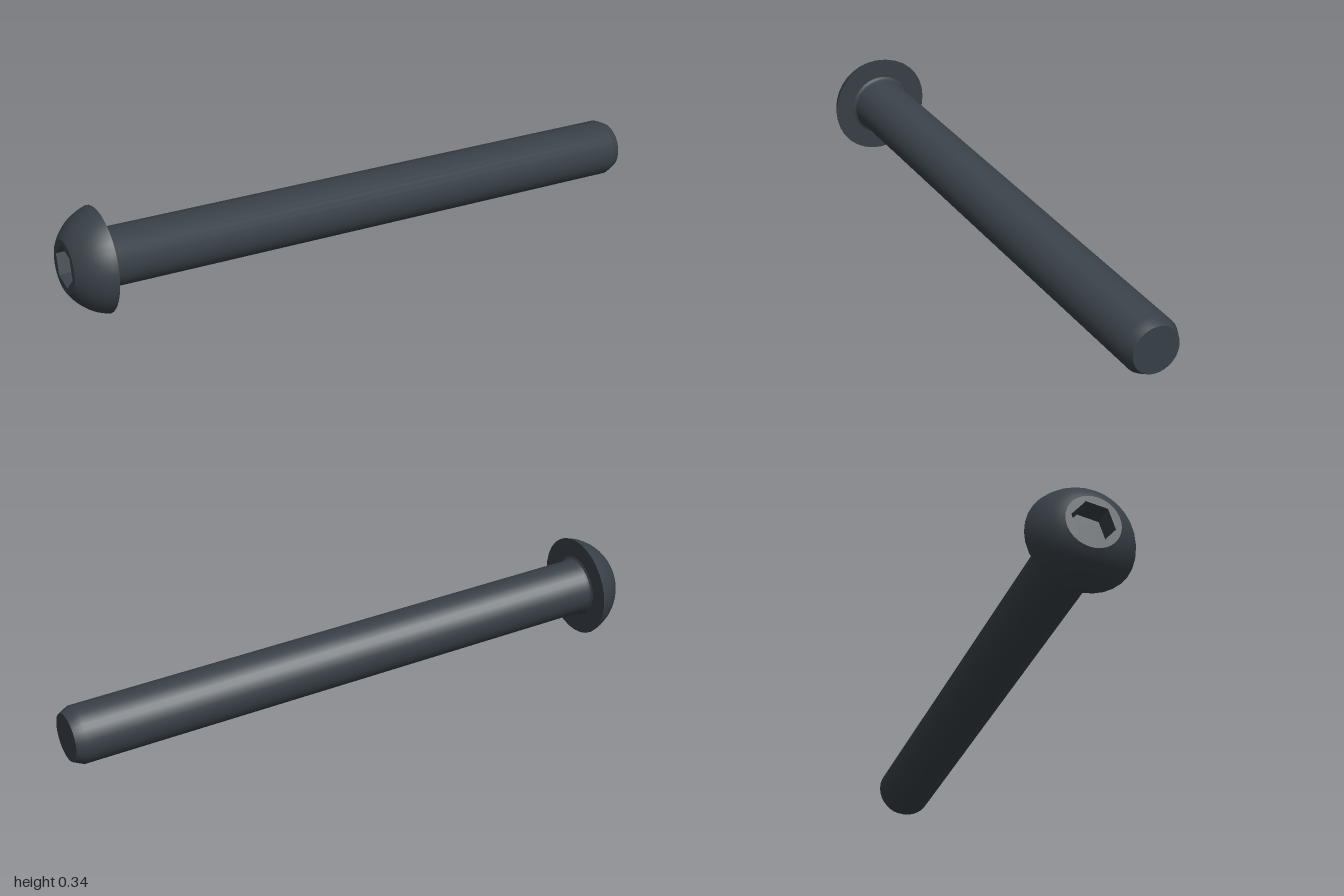
import * as THREE from 'three';
import { toCreasedNormals } from 'three/addons/utils/BufferGeometryUtils.js';

const SEG = 32;
const HEAD_R = 0.17, HEAD_H = 0.11, FACE_R = 0.085;
const SHAFT_R = 0.0935, TIP_R = 0.078, CHAMFER = 0.033;
const SOCKET_R = 0.068, SOCKET_DEPTH = 0.075;

export function createModel() {
  const root = new THREE.Group();
  root.name = 'bolt';
  const steel = new THREE.MeshStandardMaterial({ color: 0x384047 });
  steel.name = 'dark steel';

  // The bolt is built along +y from the underside of its head, then tilted
  const bolt = new THREE.Group();
  bolt.name = 'tiltedBolt';
  root.add(bolt);
  const start = new THREE.Vector3(-0.875, 0.1715, -0.159);
  const end = new THREE.Vector3(0.983, 0.096, 0.238);
  const length = start.distanceTo(end);
  bolt.position.copy(start);
  bolt.quaternion.setFromUnitVectors(new THREE.Vector3(0, 1, 0), end.clone().sub(start).normalize());

  const add = (name, geometry) => {
    const mesh = new THREE.Mesh(geometry, steel);
    mesh.name = name;
    bolt.add(mesh);
  };
  const lathe = (points) => toCreasedNormals(
    new THREE.LatheGeometry(points.map(([r, y]) => new THREE.Vector2(r, y)), SEG), 0.5);

  // Domed head: spherical arc from the flat face to the rim, then the underside
  const c = (HEAD_R ** 2 - FACE_R ** 2 - HEAD_H ** 2) / (2 * HEAD_H);
  const R = Math.hypot(HEAD_R, c);
  const a0 = Math.atan2(-HEAD_H - c, FACE_R), a1 = Math.atan2(-c, HEAD_R);
  const dome = [];
  for (let i = 0; i <= 10; i++) {
    const a = a0 + (a1 - a0) * i / 10;
    dome.push([R * Math.cos(a), c + R * Math.sin(a)]);
  }
  add('head', lathe([...dome, [SHAFT_R, 0]]));

  // Flat head face with a hexagonal opening
  const hex = Array.from({ length: 6 }, (_, i) => new THREE.Vector2(
    SOCKET_R * Math.sin(i * Math.PI / 3), SOCKET_R * Math.cos(i * Math.PI / 3)));
  const face = new THREE.Shape().absarc(0, 0, FACE_R, 0, Math.PI * 2);
  face.holes.push(new THREE.Path(hex));
  add('headFace', new THREE.ShapeGeometry(face, SEG / 2).rotateX(Math.PI / 2).translate(0, -HEAD_H, 0));

  // Socket walls (turned inwards) and floor
  const walls = new THREE.CylinderGeometry(SOCKET_R, SOCKET_R, SOCKET_DEPTH, 6, 1, true).toNonIndexed();
  const p = walls.attributes.position;
  for (let i = 0; i < p.count; i++) p.setX(i, -p.getX(i));
  walls.computeVertexNormals();
  add('socketWalls', walls.translate(0, -HEAD_H + SOCKET_DEPTH / 2, 0));
  add('socketFloor', new THREE.ShapeGeometry(new THREE.Shape(hex))
    .rotateX(Math.PI / 2).translate(0, -HEAD_H + SOCKET_DEPTH, 0));

  // Shaft with a small fillet under the head and a chamfered tip
  add('shaft', lathe([
    [SHAFT_R + 0.012, 0], [SHAFT_R + 0.004, 0.004], [SHAFT_R, 0.012],
    [SHAFT_R, length - CHAMFER], [TIP_R, length],
  ]));
  add('tip', new THREE.CircleGeometry(TIP_R, SEG).rotateX(-Math.PI / 2).translate(0, length, 0));

  return root;
}
